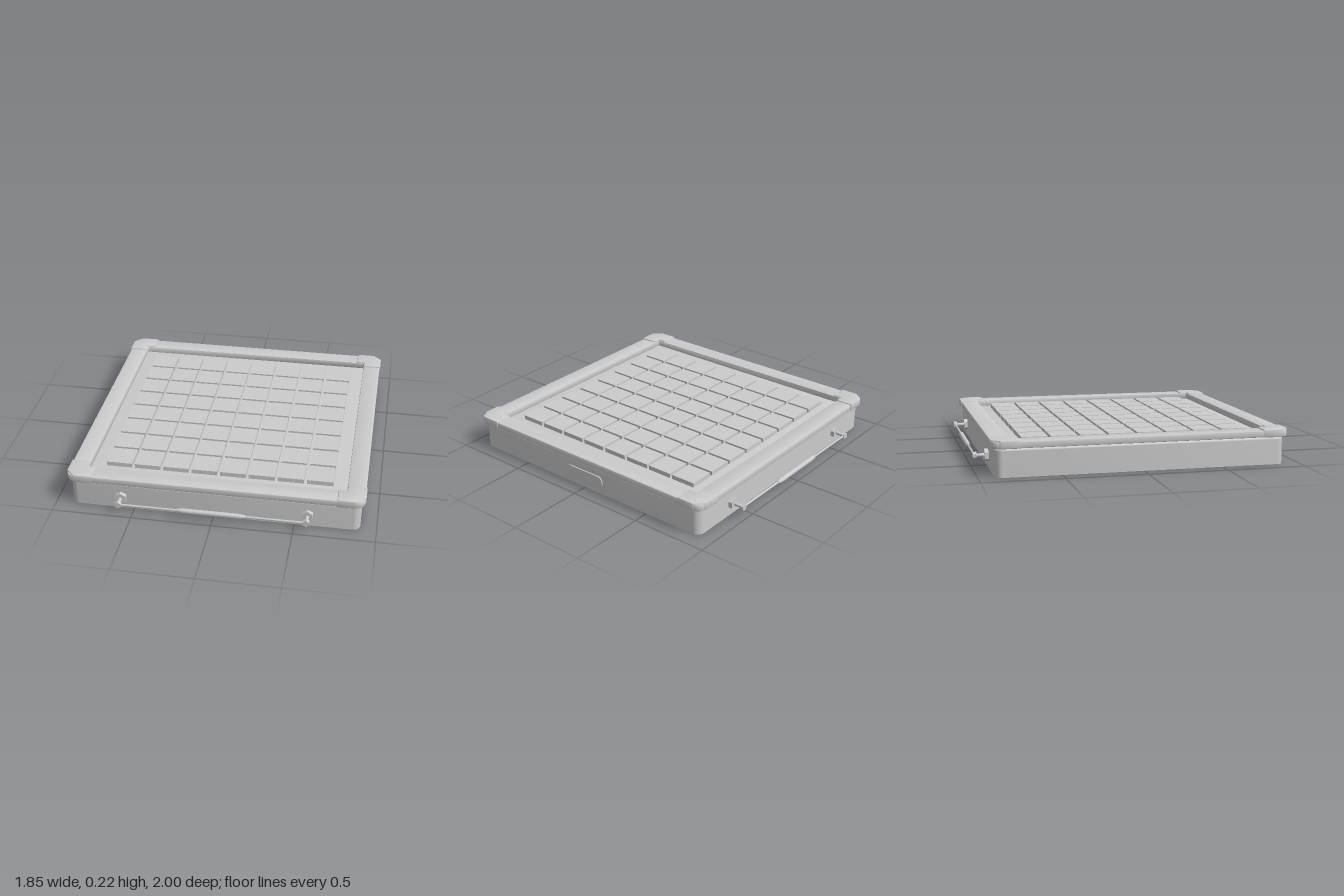
import * as THREE from 'three';
import { toCreasedNormals } from 'three/addons/utils/BufferGeometryUtils.js';

const grey = new THREE.MeshStandardMaterial({ color: 0xcccccc });

function add(parent, name, geometry, x = 0, y = 0, z = 0) {
  const mesh = new THREE.Mesh(geometry, grey);
  mesh.name = name;
  mesh.position.set(x, y, z);
  parent.add(mesh);
  return mesh;
}

// Rectangle outline with rounded corners, centred on the origin
function roundedRect(hw, hh, r, Type = THREE.Shape) {
  const s = new Type();
  s.absarc(hw - r, hh - r, r, 0, Math.PI / 2);
  s.absarc(-hw + r, hh - r, r, Math.PI / 2, Math.PI);
  s.absarc(-hw + r, -hh + r, r, Math.PI, Math.PI * 1.5);
  s.absarc(hw - r, -hh + r, r, Math.PI * 1.5, Math.PI * 2);
  s.closePath();
  return s;
}

// Horizontal slab from y0 to y1 with bevelled edges kept inside the outline
function slab(shape, y0, y1, bevel = 0, segments = 1) {
  const g = new THREE.ExtrudeGeometry(shape, {
    depth: y1 - y0 - 2 * bevel, curveSegments: 8,
    bevelEnabled: bevel > 0, bevelSize: bevel, bevelThickness: bevel,
    bevelOffset: -bevel, bevelSegments: segments,
  });
  g.translate(0, 0, y0 + bevel);
  g.rotateX(-Math.PI / 2);
  return toCreasedNormals(g, 0.6);
}

// Cylinder lying along z
function rodZ(r, length, sides) {
  const g = new THREE.CylinderGeometry(r, r, length, sides);
  g.rotateX(Math.PI / 2);
  return toCreasedNormals(g, 0.6);
}

// Carrying handle on the +z side
function makeHandle() {
  const handle = new THREE.Group();
  const y = 0.08, z = 0.984;
  for (const side of [-1, 1]) {
    const x = side * 0.58;
    add(handle, 'handleNut', rodZ(0.038, 0.03, 6), x, y, 0.91);
    add(handle, 'handlePost', rodZ(0.011, 0.08, 12), x, y, 0.94);
    add(handle, 'handleCap', rodZ(0.022, 0.024, 6), x, y, z);
  }
  const bar = new THREE.CylinderGeometry(0.007, 0.007, 1.16, 12);
  add(handle, 'handleBar', bar.rotateZ(Math.PI / 2), 0, y, z);
  // Grip with tapered ends
  const profile = [[0, -0.21], [0.01, -0.21], [0.016, -0.18], [0.016, 0.18], [0.01, 0.21], [0, 0.21]]
    .map(([r, h]) => new THREE.Vector2(r, h));
  const grip = toCreasedNormals(new THREE.LatheGeometry(profile, 16), 0.4);
  add(handle, 'handleGrip', grip.rotateZ(Math.PI / 2), 0, y, z);
  return handle;
}

export function createModel() {
  const model = new THREE.Group();
  model.name = 'boardCase';

  // Case body with a bevelled shoulder under the lid
  const outline = roundedRect(0.9, 0.9, 0.05);
  add(model, 'body', slab(outline, 0, 0.152));
  add(model, 'bodyShoulder', slab(outline, 0.13, 0.176, 0.02, 3));

  // Lid frame around the recessed board
  const frame = roundedRect(0.92, 0.92, 0.05);
  frame.holes.push(roundedRect(0.805, 0.805, 0.01, THREE.Path));
  add(model, 'lidFrame', slab(frame, 0.175, 0.217, 0.006, 2));

  // L-shaped corner guards
  const a = 0.925, b = 0.755, c = 0.81, cut = 0.055;
  const guard = new THREE.Shape([
    [b, c], [c, c], [c, b], [a, b], [a, a - cut], [a - cut, a], [b, a],
  ].map(([x, y]) => new THREE.Vector2(x, y)));
  const guardGeometry = slab(guard, 0.174, 0.225, 0.007, 2);
  for (let i = 0; i < 4; i++) {
    add(model, 'cornerGuard', guardGeometry).rotation.y = i * Math.PI / 2;
  }

  // Eight by eight raised tiles
  const tiles = new THREE.Group();
  tiles.name = 'tiles';
  model.add(tiles);
  const tile = new THREE.BoxGeometry(0.163, 0.032, 0.163);
  const pitch = 0.181;
  for (let row = 0; row < 8; row++) {
    for (let col = 0; col < 8; col++) {
      add(tiles, 'tile', tile, (col - 3.5) * pitch, 0.188, (row - 3.5) * pitch);
    }
  }

  // Handles front and back
  for (const [name, turn] of [['frontHandle', 0], ['backHandle', Math.PI]]) {
    const handle = makeHandle();
    handle.name = name;
    handle.rotation.y = turn;
    model.add(handle);
  }

  // Rounded plate on the left side
  const plate = slab(roundedRect(0.038, 0.147, 0.03), 0, 0.016, 0.003);
  plate.rotateZ(-Math.PI / 2);
  add(model, 'sidePlate', plate, 0.89, 0.082, 0);

  return model;
}
